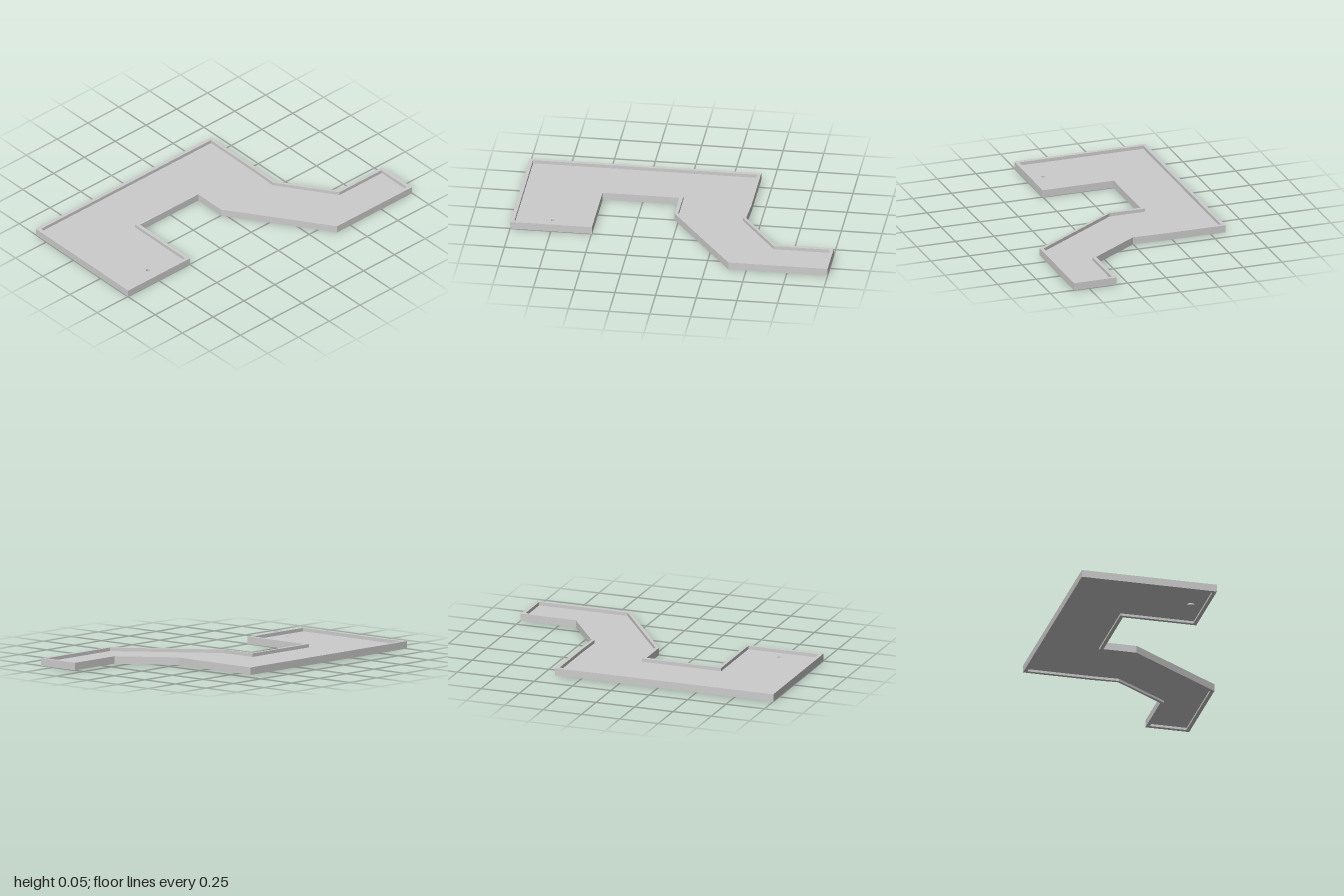
import * as THREE from 'three';

// Plan corners as [x, z], clockwise seen from above
const OUTER = [
  [-1, -0.597], [0.423, -0.597], [0.423, -0.17], [0.415, 0], [0.64, 0.322], [1, 0.322], [1, 0.597],
  [0.39, 0.597], [-0.025, 0], [-0.025, -0.208], [-0.497, -0.208], [-0.497, 0.252], [-1, 0.252],
];
const INNER = [
  [-0.976, -0.575], [0.401, -0.575], [0.401, -0.17], [0.396, 0], [0.633, 0.344], [0.976, 0.344], [0.976, 0.574],
  [0.4, 0.574], [-0.003, 0], [-0.003, -0.23], [-0.519, -0.23], [-0.519, 0.23], [-0.976, 0.23],
];
const CUP = { x: -0.752, z: 0.153, rim: 0.022, hole: 0.012 };
const HEIGHT = 0.046, FLOOR_BOTTOM = 0.015, FLOOR_TOP = 0.025, CUP_BASE = 0.008, CUP_BOTTOM = 0.004;

// Reversed so the contour runs counter-clockwise and all walls face outward
const toPoints = (corners) => corners.map(([x, z]) => new THREE.Vector2(x, -z)).reverse();
const cupDisc = () => new THREE.Shape().absarc(CUP.x, -CUP.z, CUP.rim, 0, Math.PI * 2, false);
const cupHole = () => new THREE.Path().absarc(CUP.x, -CUP.z, CUP.hole, 0, Math.PI * 2, true);

// Raise a plan shape, with an optional hole, from y0 to y1
function slab(name, shape, hole, y0, y1, material) {
  if (hole) shape.holes.push(hole);
  const geometry = new THREE.ExtrudeGeometry(shape, { depth: y1 - y0, bevelEnabled: false, curveSegments: 12 });
  geometry.rotateX(-Math.PI / 2);
  geometry.translate(0, y0, 0);
  const mesh = new THREE.Mesh(geometry, material);
  mesh.name = name;
  return mesh;
}

export function createModel() {
  const group = new THREE.Group();
  group.name = 'courseTray';
  const material = new THREE.MeshStandardMaterial({ color: 0xcccccc });

  group.add(
    // Border wall, standing above and below the floor
    slab('borderWall', new THREE.Shape(toPoints(OUTER)), new THREE.Path(toPoints(INNER)), 0, HEIGHT, material),
    // Floor with the opening for the cup
    slab('floor', new THREE.Shape(toPoints(INNER)), cupHole(), FLOOR_BOTTOM, FLOOR_TOP, material),
    // Small closed cup hanging under the opening
    slab('cupWall', cupDisc(), cupHole(), CUP_BASE, FLOOR_BOTTOM, material),
    slab('cupBase', cupDisc(), null, CUP_BOTTOM, CUP_BASE, material),
  );
  return group;
}
